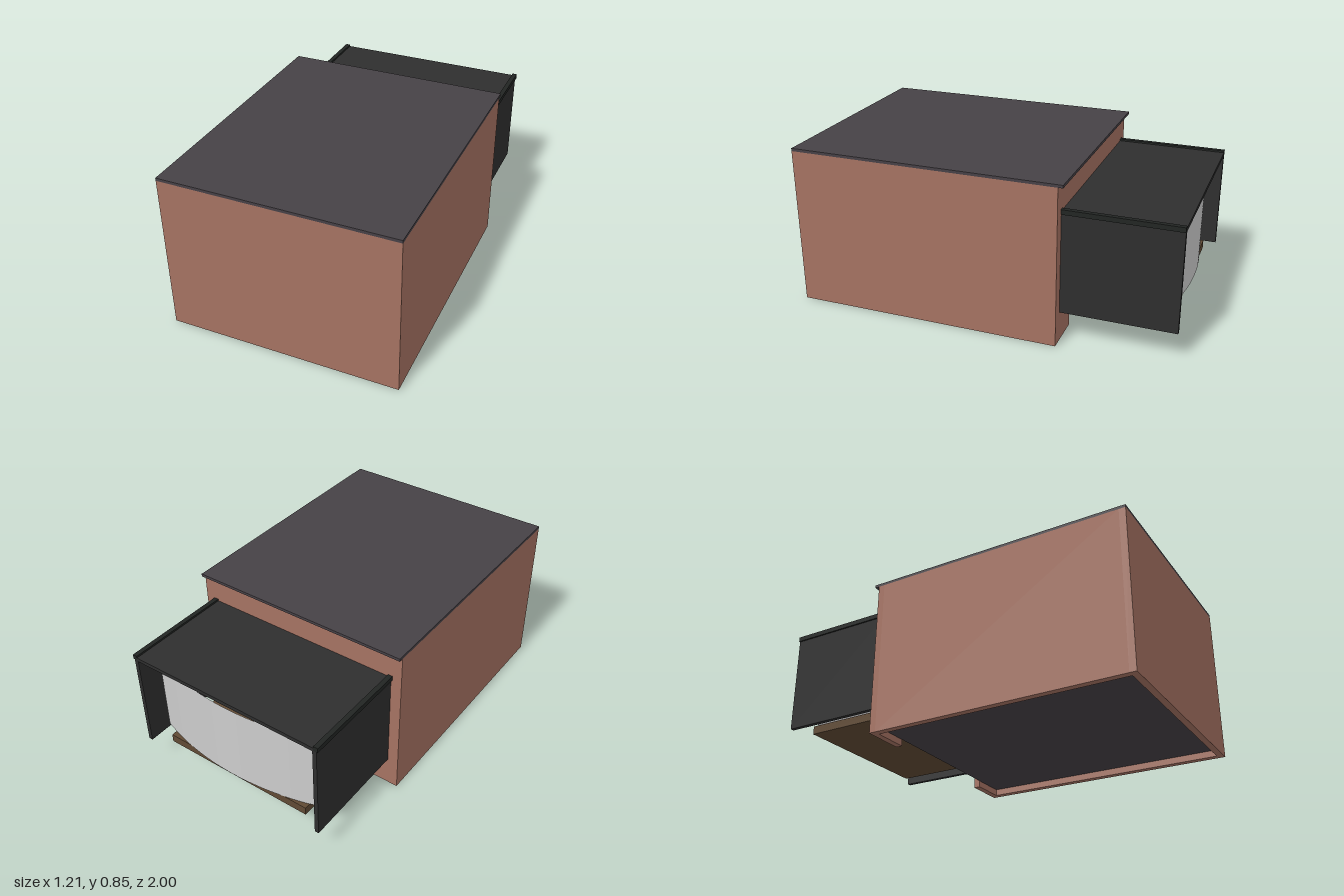
import * as THREE from 'three';

const mat = (name, color, side = THREE.FrontSide) => {
  const m = new THREE.MeshStandardMaterial({ color, side });
  m.name = name;
  return m;
};

export function createModel() {
  const model = new THREE.Group();
  const brick = mat('brick', 0xa57262);
  const slate = mat('slate', 0x464146);
  const charcoal = mat('charcoal', 0x2e2e2e);
  const trim = mat('dark trim', 0x222523);
  const wood = mat('wood', 0x604a34);
  const fabric = mat('pale screen', 0xcccccc, THREE.DoubleSide);

  const add = (parent, name, geometry, material) => {
    const mesh = new THREE.Mesh(geometry, material);
    mesh.name = name;
    parent.add(mesh);
    return mesh;
  };
  // Box given by its minimum and maximum on each axis
  const box = (parent, name, material, [x0, x1], [y0, y1], [z0, z1]) => {
    const g = new THREE.BoxGeometry(x1 - x0, y1 - y0, z1 - z0);
    g.translate((x0 + x1) / 2, (y0 + y1) / 2, (z0 + z1) / 2);
    return add(parent, name, g, material);
  };
  const group = (name) => {
    const g = new THREE.Group();
    g.name = name;
    model.add(g);
    return g;
  };

  // Building: hollow brick shell with a stage opening at the back
  const W = 0.605, T = 0.035, H = 0.838, BACK = -0.415;
  const building = group('building');
  box(building, 'frontWall', brick, [-W, W], [0, H], [1 - T, 1]);
  for (const s of [-1, 1]) {
    const xs = [s * W, s * (W - T)].sort((a, b) => a - b);
    box(building, 'sideWall', brick, xs, [0, H], [BACK + T, 1 - T]);
  }
  const wall = new THREE.Shape([
    [-W, 0], [-0.38, 0], [-0.38, 0.24], [0.38, 0.24],
    [0.38, 0], [W, 0], [W, H], [-W, H],
  ].map(([x, y]) => new THREE.Vector2(x, y)));
  const backWall = new THREE.ExtrudeGeometry(wall, { depth: T, bevelEnabled: false });
  add(building, 'backWall', backWall, brick).position.z = BACK;
  box(building, 'floor', slate, [-W + T, W - T], [0.035, 0.135], [BACK + T, 1 - T]);
  box(building, 'roof', slate, [-W, W], [H, 0.853], [-0.44, 1]);

  // Stage canopy: two side panels and a flat top with edge rails
  const canopy = group('canopy');
  box(canopy, 'canopyTop', charcoal, [-0.53, 0.53], [0.68, 0.7], [-1, BACK]);
  for (const s of [-1, 1]) {
    const order = (a, b) => [s * a, s * b].sort((p, q) => p - q);
    box(canopy, 'sidePanel', charcoal, order(0.525, 0.547), [0.16, 0.685], [-1, BACK]);
    box(canopy, 'edgeRail', trim, order(0.53, 0.555), [0.685, 0.71], [-1, BACK]);
  }

  // Stage platform and the curved screen across its outer edge
  const stage = group('stage');
  box(stage, 'platform', wood, [-0.43, 0.43], [0.16, 0.205], [-0.945, BACK]);
  const R = 1.513, half = Math.asin(0.5 / R);
  const screen = new THREE.CylinderGeometry(R, R, 0.43, 32, 1, true, Math.PI - half, half * 2);
  add(stage, 'curvedScreen', screen, fabric).position.set(0, 0.42, R - 0.975);

  return model;
}
